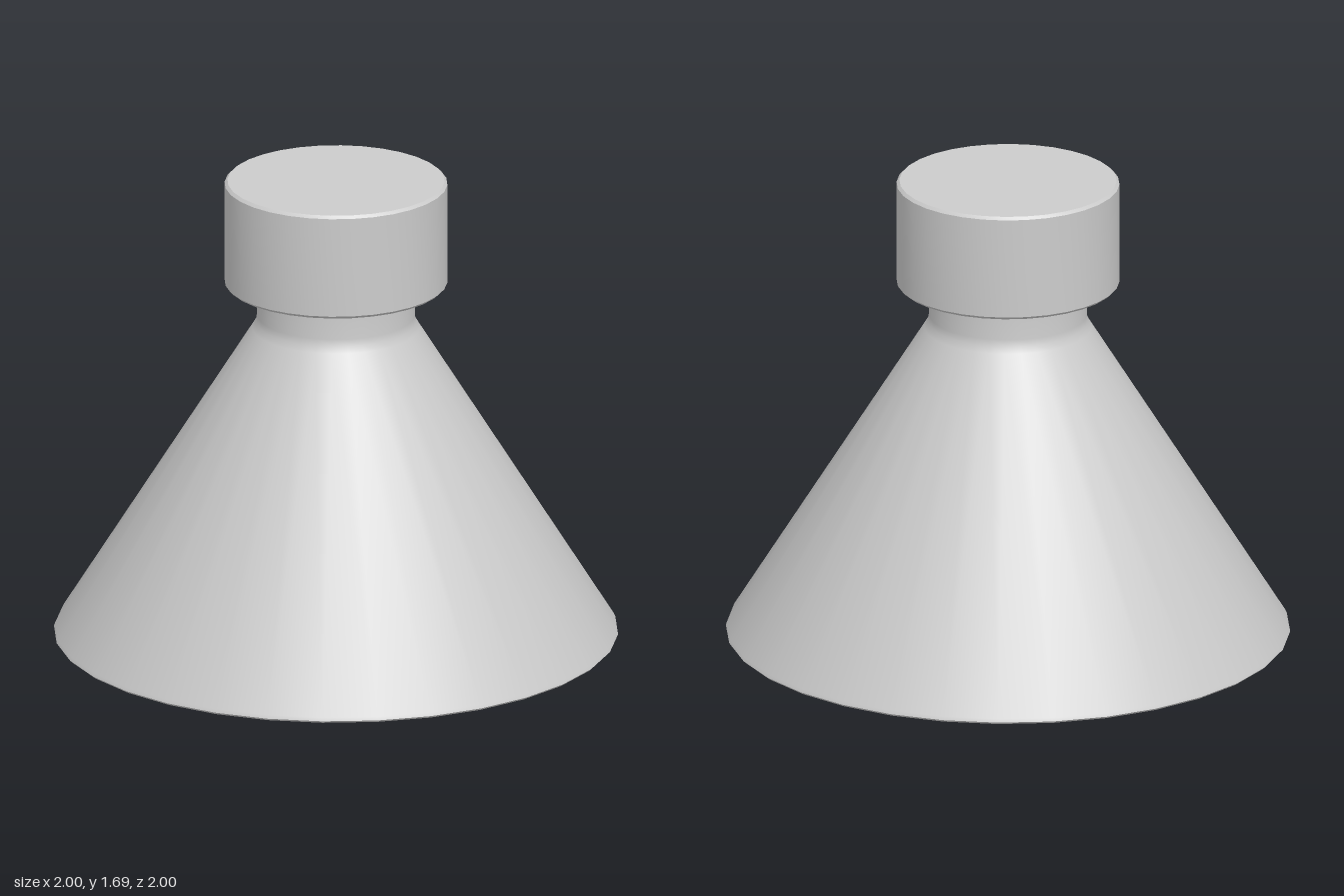
import * as THREE from 'three';
import { toCreasedNormals } from 'three/addons/utils/BufferGeometryUtils.js';

const SEGMENTS = 32;
const material = new THREE.MeshStandardMaterial({ color: 0xcccccc });

// Revolves a [radius, height] profile listed from bottom to top
function turned(name, profile) {
  const points = profile.map(([r, y]) => new THREE.Vector2(r, y));
  const geometry = toCreasedNormals(new THREE.LatheGeometry(points, SEGMENTS), 0.6);
  const mesh = new THREE.Mesh(geometry, material);
  mesh.name = name;
  return mesh;
}

export function createModel() {
  const group = new THREE.Group();
  group.name = 'conicalFlask';

  // Conical body with a thin bevelled foot, flowing into the straight neck
  group.add(turned('bodyAndNeck', [
    [0, 0], [0.992, 0], [1, 0.008], [0.995, 0.02],
    [0.297, 1.143], [0.284, 1.165], [0.28, 1.19], [0.28, 1.32], [0, 1.32],
  ]));

  // Wide cylindrical stopper with softened rims
  const radius = 0.395, bottom = 1.305, top = 1.69, bevel = 0.01;
  group.add(turned('stopper', [
    [0, bottom], [radius - bevel, bottom], [radius, bottom + bevel],
    [radius, top - bevel], [radius - bevel, top], [0, top],
  ]));

  return group;
}
